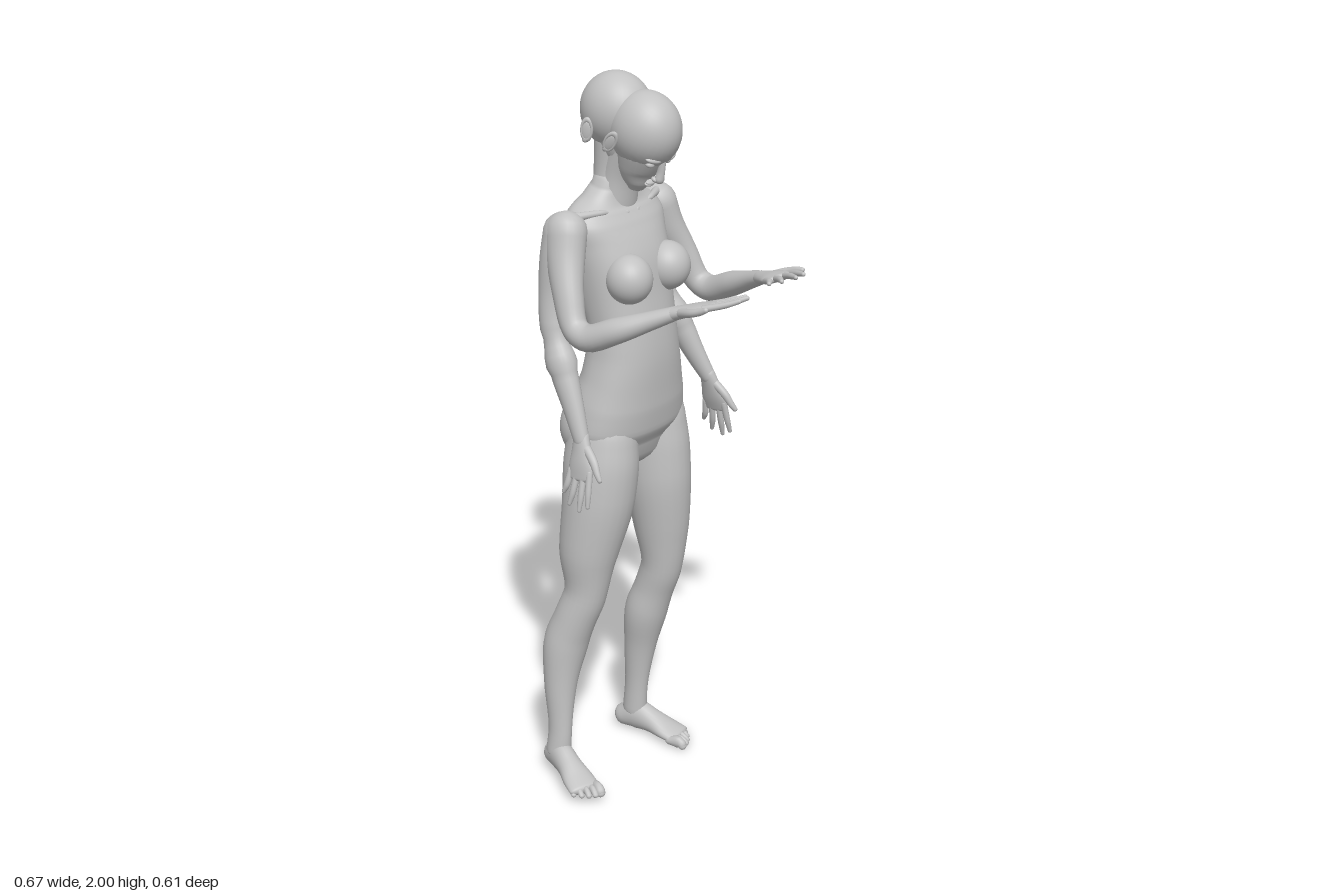
import * as THREE from 'three';

const skin = new THREE.MeshStandardMaterial({ color: 0xc2c2c2 });
skin.name = 'matte grey';
const V = (x, y, z) => new THREE.Vector3(x, y, z);

function add(parent, name, geometry) {
  const mesh = new THREE.Mesh(geometry, skin);
  mesh.name = name;
  parent.add(mesh);
  return mesh;
}

// Smooth round-ended body through sections [x, y, z, radius along ref, other radius]
function loft(sections, { ref = V(1, 0, 0), steps = 5, sides = 24, capA = 1, capB = 1, power = 2 } = {}) {
  const path = new THREE.CatmullRomCurve3(sections.map(s => V(s[0], s[1], s[2])));
  const size = new THREE.CatmullRomCurve3(sections.map(s => V(s[3], s[4], 0)));
  const n = (sections.length - 1) * steps, rings = [];
  const cap = [1, 0.94, 0.8, 0.6, 0.35, 0.1];
  for (const c of cap.slice(1).reverse()) rings.push([0, c, -capA]);
  for (let i = 0; i <= n; i++) rings.push([i / n, 1, 0]);
  for (const c of cap.slice(1)) rings.push([1, c, capB]);
  const pos = [], idx = [];
  for (const [t, k, push] of rings) {
    const p = path.getPoint(t), r = size.getPoint(t), T = path.getTangent(t);
    const S = ref.clone().addScaledVector(T, -ref.dot(T)).normalize();
    const U = T.clone().cross(S);
    p.addScaledVector(T, push * Math.min(r.x, r.y) * Math.sqrt(1 - k * k));
    for (let j = 0; j < sides; j++) {
      const a = j / sides * Math.PI * 2;
      const f = v => Math.sign(v) * Math.abs(v) ** (2 / power) * k;
      const q = p.clone().addScaledVector(S, f(Math.cos(a)) * r.x).addScaledVector(U, f(Math.sin(a)) * r.y);
      pos.push(q.x, q.y, q.z);
    }
  }
  const last = rings.length - 1;
  for (let i = 0; i < last; i++) for (let j = 0; j < sides; j++) {
    const a = i * sides + j, b = i * sides + (j + 1) % sides;
    idx.push(a, b, a + sides, b, b + sides, a + sides);
  }
  for (let j = 1; j < sides - 1; j++) {
    idx.push(0, j + 1, j, last * sides, last * sides + j, last * sides + j + 1);
  }
  const g = new THREE.BufferGeometry();
  g.setAttribute('position', new THREE.Float32BufferAttribute(pos, 3));
  g.setIndex(idx);
  g.computeVertexNormals();
  return g;
}

function ball(parent, name, [x, y, z], [rx, ry, rz]) {
  const m = add(parent, name, new THREE.SphereGeometry(1, 32, 24).scale(rx, ry, rz));
  m.position.set(x, y, z);
  return m;
}

// Hand: fingers run along local +z, thumb on local +x
function hand(parent, name, wrist, dir, thumbSide) {
  const g = new THREE.Group();
  g.name = name;
  const Z = dir.clone().normalize();
  const X = thumbSide.clone().addScaledVector(Z, -thumbSide.dot(Z)).normalize();
  g.setRotationFromMatrix(new THREE.Matrix4().makeBasis(X, Z.clone().cross(X), Z));
  g.position.copy(wrist);
  add(g, 'palm', loft([[0, 0, -0.01, 0.023, 0.018], [0, 0, 0.03, 0.032, 0.016],
    [-0.001, 0, 0.07, 0.041, 0.014], [-0.003, 0, 0.1, 0.04, 0.01]]));
  const fingers = [[-0.036, 0.095, -0.062, 0.147], [-0.015, 0.102, -0.042, 0.178],
    [0.008, 0.104, -0.008, 0.193], [0.029, 0.098, 0.022, 0.181]];
  for (const [x0, z0, x1, z1] of fingers) {
    add(g, 'finger', loft([[x0, 0, z0 - 0.015, 0.0095, 0.009], [(x0 + x1) / 2, 0.002, (z0 + z1) / 2, 0.009, 0.008],
      [x1, 0, z1 - 0.006, 0.006, 0.006]], { sides: 12 }));
  }
  add(g, 'thumb', loft([[0.018, 0, 0.02, 0.013, 0.012], [0.045, 0.002, 0.055, 0.012, 0.011],
    [0.058, 0.002, 0.085, 0.009, 0.009], [0.064, 0, 0.1, 0.007, 0.007]], { sides: 12 }));
  parent.add(g);
}

// Foot: heel near the origin, toes along local +z
function foot(parent, name, x, y, z, turn) {
  const g = new THREE.Group();
  g.name = name;
  add(g, 'sole', loft([[0, 0.037, -0.035, 0.03, 0.034], [0, 0.05, 0.01, 0.033, 0.047], [0.0, 0.042, 0.06, 0.035, 0.036],
    [0, 0.029, 0.11, 0.044, 0.024], [0, 0.02, 0.15, 0.046, 0.016]], { capB: 0.8 }));
  const s = Math.sign(x);
  for (let i = 0; i < 5; i++) {
    const tx = s * (-0.034 + i * 0.0175), r = i ? 0.0095 - i * 0.0005 : 0.0135;
    const end = 0.197 - i * i * 0.0022;
    add(g, 'toe', loft([[tx, 0.018, 0.14, r, r], [tx, 0.019, end - 0.018, r, r], [tx, 0.012, end - r, r, r * 0.9]], { sides: 12 }));
  }
  g.position.set(x, y, z);
  g.rotation.y = turn;
  parent.add(g);
}

// Bald head around the skull centre, facing local +z
function head(parent, name, y, z, tilt) {
  const g = new THREE.Group();
  g.name = name;
  ball(g, 'skull', [0, 0, 0], [0.087, 0.1, 0.1]);
  add(g, 'face', loft([[0, 0.0, 0.012, 0.076, 0.084], [0, -0.05, 0.024, 0.068, 0.07], [0, -0.1, 0.038, 0.053, 0.055],
    [0, -0.13, 0.055, 0.036, 0.036], [0, -0.145, 0.062, 0.024, 0.022]], { capB: 0.4 }));
  add(g, 'nose', loft([[0, -0.028, 0.088, 0.008, 0.01], [0, -0.055, 0.1, 0.009, 0.011], [0, -0.075, 0.107, 0.013, 0.013]], { sides: 16 }));
  ball(g, 'upperLip', [0, -0.099, 0.091], [0.02, 0.005, 0.009]);
  ball(g, 'lowerLip', [0, -0.108, 0.089], [0.017, 0.006, 0.009]);
  for (const s of [-1, 1]) {
    ball(g, 'brow', [s * 0.033, -0.022, 0.082], [0.025, 0.008, 0.012]).rotation.y = s * 0.35;
    ball(g, 'eyelid', [s * 0.032, -0.04, 0.077], [0.015, 0.009, 0.013]);
    ball(g, 'nostril', [s * 0.01, -0.08, 0.1], [0.007, 0.006, 0.009]);
    const ear = new THREE.Group();
    ear.name = 'ear';
    const rim = add(ear, 'earRim', new THREE.TorusGeometry(0.017, 0.005, 8, 24));
    rim.scale.set(0.8, 1.5, 1);
    ball(ear, 'earBowl', [0, -0.003, -0.002 * s], [0.013, 0.024, 0.004]);
    ball(ear, 'earLobe', [0.003 * s, -0.026, 0], [0.008, 0.009, 0.005]);
    ear.position.set(s * 0.087, -0.042, -0.022);
    ear.rotation.y = s * (Math.PI / 2 - 0.4);
    g.add(ear);
  }
  g.position.set(0, y, z);
  g.rotation.x = tilt;
  parent.add(g);
}

export function createModel() {
  const body = new THREE.Group();
  body.name = 'fourArmedFigure';

  // Torso, with a groove pressed in along the spine
  const torso = loft([
    [0, 1.01, -0.175, 0.15, 0.09], [0, 1.06, -0.172, 0.188, 0.112], [0, 1.13, -0.165, 0.178, 0.115],
    [0, 1.2, -0.153, 0.157, 0.106], [0, 1.27, -0.149, 0.14, 0.102], [0, 1.34, -0.152, 0.133, 0.098],
    [0, 1.41, -0.167, 0.138, 0.102], [0, 1.49, -0.186, 0.147, 0.109], [0, 1.56, -0.205, 0.158, 0.102],
    [0, 1.61, -0.213, 0.168, 0.088], [0, 1.65, -0.215, 0.15, 0.07], [0, 1.68, -0.212, 0.1, 0.055],
    [0, 1.71, -0.207, 0.066, 0.047]], { sides: 48, power: 2.25 });
  const p = torso.attributes.position;
  for (let i = 0; i < p.count; i++) {
    const y = p.getY(i);
    if (p.getZ(i) < -0.2 && y > 1.15) {
      const fade = Math.min(1, (y - 1.15) / 0.1) * Math.max(0, Math.min(1, (1.68 - y) / 0.1));
      p.setZ(i, p.getZ(i) + 0.014 * fade * Math.exp(-((p.getX(i) / 0.028) ** 2)));
    }
  }
  torso.computeVertexNormals();
  add(body, 'torso', torso);

  for (const s of [-1, 1]) {
    ball(body, 'breast', [s * 0.077, 1.485, -0.093], [0.062, 0.066, 0.064]).rotation.y = s * 0.25;
    ball(body, 'buttock', [s * 0.088, 1.045, -0.218], [0.09, 0.1, 0.09]);
    add(body, 'collarbone', loft([[s * 0.02, 1.64, -0.148, 0.008, 0.008], [s * 0.09, 1.652, -0.163, 0.008, 0.008],
      [s * 0.165, 1.65, -0.2, 0.012, 0.012]], { ref: V(0, 1, 0), sides: 12 }));
  }

  // Two overlapping heads, one upright and one bowed forward
  add(body, 'uprightNeck', loft([[0, 1.66, -0.21, 0.066, 0.05], [0, 1.75, -0.207, 0.055, 0.05], [0, 1.83, -0.2, 0.055, 0.055]]));
  add(body, 'bowedNeck', loft([[0, 1.65, -0.2, 0.062, 0.05], [0, 1.74, -0.182, 0.053, 0.048], [0, 1.82, -0.15, 0.053, 0.05]]));
  head(body, 'uprightHead', 1.899, -0.195, 0.1);
  head(body, 'bowedHead', 1.863, -0.1, 0.6);

  // Raised arms with open palms
  for (const s of [-1, 1]) {
    const d = s > 0 ? 0.008 : -0.004, w = s * 0.18 + 0.014;
    add(body, 'raisedArm', loft([
      [s * 0.18, 1.615, -0.215, 0.052, 0.058], [s * 0.2, 1.55, -0.2, 0.047, 0.053],
      [s * 0.225 + d, 1.47, -0.168, 0.038, 0.043], [s * 0.245 + d, 1.39, -0.128, 0.034, 0.036],
      [s * 0.247 + d, 1.375, -0.085, 0.036, 0.036], [s * 0.232 + d, 1.41, 0, 0.035, 0.034],
      [s * 0.208 + 0.01, 1.442, 0.075, 0.027, 0.025], [w, 1.468, 0.135, 0.022, 0.018]]));
    hand(body, 'raisedHand', V(w, 1.468, 0.135), V(s * -0.075, 0.058, 0.175), V(s, 0.15, 0.4));
  }

  // Lowered arms
  for (const [s, fx, wx, wy] of [[1, 0.246, 0.283, 1.1], [-1, -0.235, -0.252, 1.085]]) {
    add(body, 'loweredArm', loft([
      [s * 0.178, 1.61, -0.225, 0.052, 0.055], [s * 0.195, 1.54, -0.232, 0.045, 0.05],
      [s * 0.208, 1.45, -0.238, 0.037, 0.042], [s * 0.222, 1.36, -0.228, 0.033, 0.038],
      [fx, 1.25, -0.183, 0.033, 0.038], [(fx + wx) / 2, 1.17, -0.147, 0.026, 0.031],
      [wx, wy, -0.112, 0.019, 0.023]]));
    hand(body, 'loweredHand', V(wx, wy, -0.112), V(s * 0.04, -0.18, 0.03), V(0, 0.15, 1));
  }

  // Legs: the left stands straight, the right steps out and back
  add(body, 'leftLeg', loft([
    [0.1, 1.04, -0.17, 0.088, 0.1], [0.101, 0.95, -0.163, 0.093, 0.108], [0.1, 0.85, -0.15, 0.09, 0.102],
    [0.105, 0.7, -0.138, 0.076, 0.081], [0.102, 0.58, -0.134, 0.058, 0.06], [0.098, 0.5, -0.158, 0.057, 0.058],
    [0.092, 0.42, -0.184, 0.062, 0.062], [0.088, 0.3, -0.205, 0.046, 0.049], [0.08, 0.15, -0.216, 0.03, 0.036],
    [0.08, 0.07, -0.222, 0.032, 0.038]], { capB: 0.4 }));
  add(body, 'rightLeg', loft([
    [-0.1, 1.04, -0.172, 0.088, 0.1], [-0.112, 0.95, -0.17, 0.097, 0.108], [-0.126, 0.85, -0.17, 0.096, 0.102],
    [-0.154, 0.7, -0.184, 0.079, 0.084], [-0.168, 0.58, -0.185, 0.058, 0.061], [-0.184, 0.5, -0.21, 0.059, 0.06],
    [-0.196, 0.42, -0.236, 0.064, 0.063], [-0.22, 0.3, -0.24, 0.047, 0.049], [-0.24, 0.15, -0.229, 0.03, 0.036],
    [-0.246, 0.08, -0.232, 0.032, 0.038]], { capB: 0.4 }));
  ball(body, 'leftKneecap', [0.102, 0.6, -0.098], [0.03, 0.04, 0.026]);
  ball(body, 'rightKneecap', [-0.17, 0.6, -0.148], [0.03, 0.04, 0.026]);
  foot(body, 'leftFoot', 0.08, 0.002, -0.222, 0.16);
  foot(body, 'rightFoot', -0.246, 0.02, -0.228, -0.36);
  return body;
}
